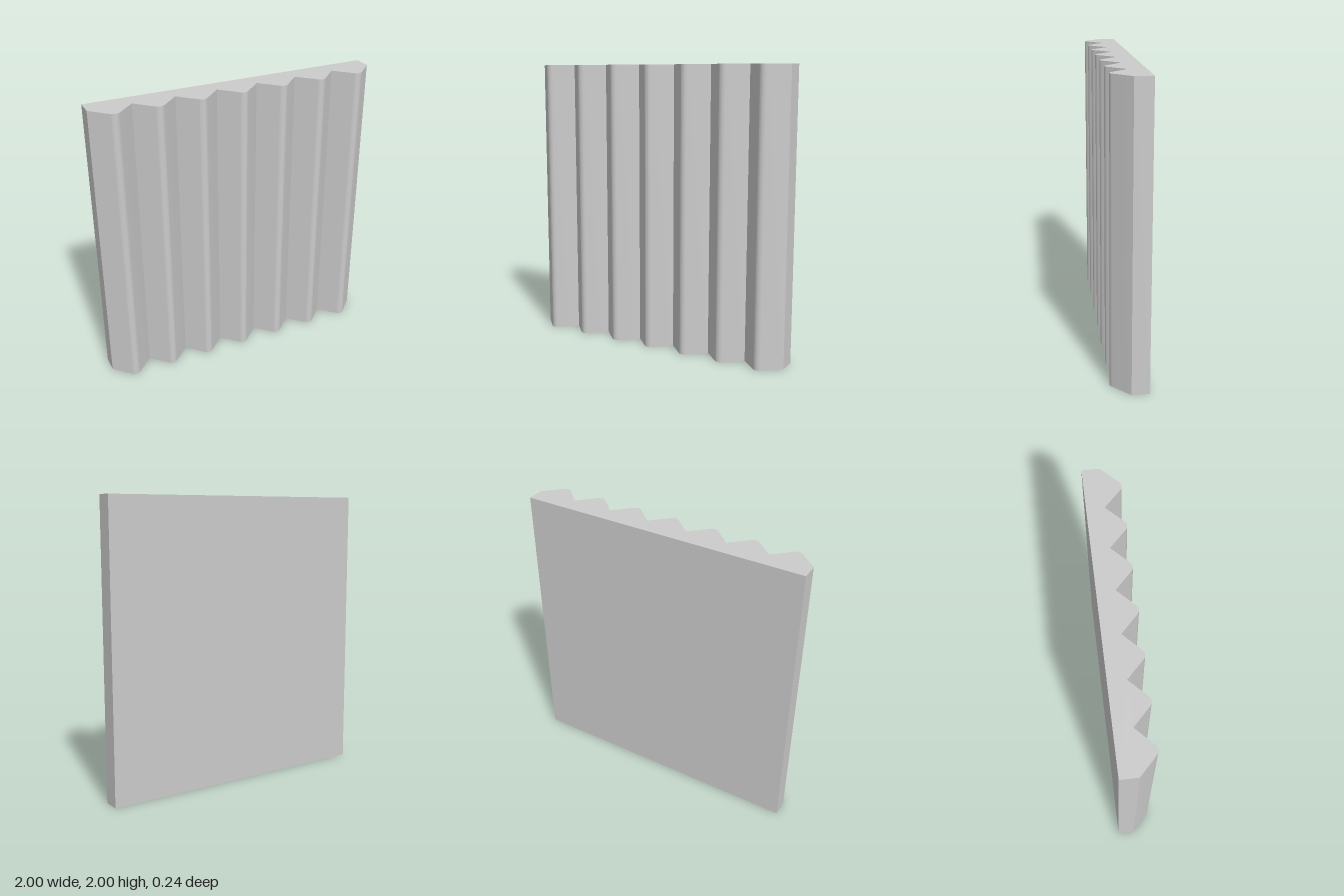
import * as THREE from 'three';
import { toCreasedNormals } from 'three/addons/utils/BufferGeometryUtils.js';

const RIDGES = 7;
const WIDTH = 2, HEIGHT = 2;
const BACK = -0.12, VALLEY = -0.003, TIP = 0.12;
const TIP_RADIUS = 0.04;
const SLOPE = THREE.MathUtils.degToRad(44.2);

// Plan outline of the panel: flat back, ridges with rounded tips at the front
function panelOutline() {
  const pitch = WIDTH / RIDGES;
  const shape = new THREE.Shape();
  shape.moveTo(-WIDTH / 2, BACK);
  shape.lineTo(-WIDTH / 2, VALLEY);
  for (let i = 0; i < RIDGES; i++) {
    const x = -WIDTH / 2 + (i + 0.5) * pitch;
    shape.absarc(x, TIP - TIP_RADIUS, TIP_RADIUS, Math.PI / 2 + SLOPE, Math.PI / 2 - SLOPE, true);
    shape.lineTo(x + pitch / 2, VALLEY);
  }
  shape.lineTo(WIDTH / 2, BACK);
  shape.closePath();
  return shape;
}

export function createModel() {
  const group = new THREE.Group();
  group.name = 'ridgedPanel';

  // Extruded upright; only the rounded tips are shaded smooth
  let geometry = new THREE.ExtrudeGeometry(panelOutline(), {
    depth: HEIGHT, bevelEnabled: false, curveSegments: 8,
  });
  geometry.rotateX(Math.PI / 2);
  geometry.translate(0, HEIGHT, 0);
  geometry = toCreasedNormals(geometry, Math.PI / 6);

  const panel = new THREE.Mesh(geometry, new THREE.MeshStandardMaterial({ color: 0xcccccc }));
  panel.name = 'panel';
  group.add(panel);
  return group;
}
